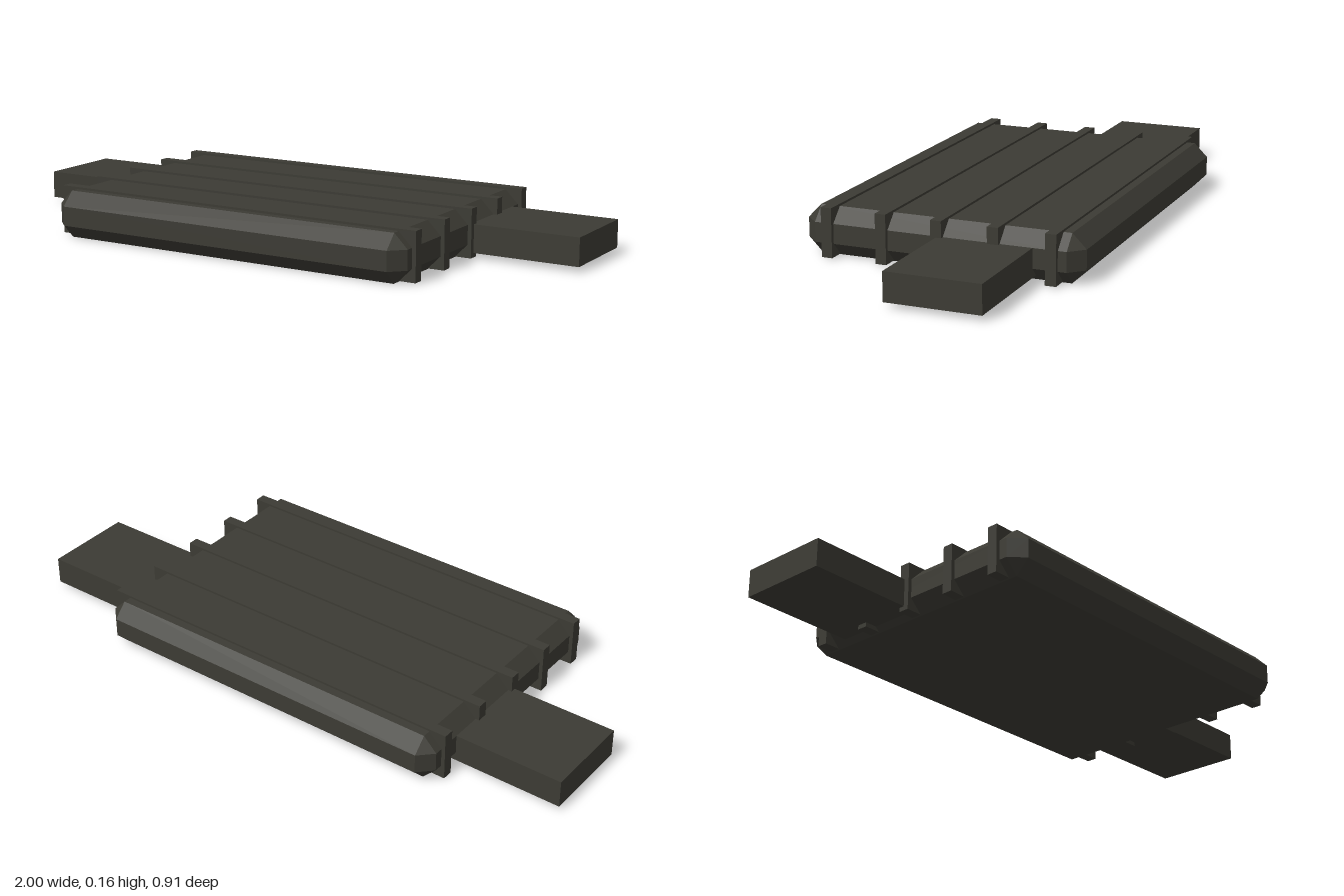
import * as THREE from 'three';
import { ConvexGeometry } from 'three/addons/geometries/ConvexGeometry.js';

export function createModel() {
  const model = new THREE.Group();
  model.name = 'ribbedPack';
  const darkOlive = new THREE.MeshStandardMaterial({ color: 0x3c3b34 });
  darkOlive.name = 'darkOlive';

  const add = (name, geometry, x, y, z) => {
    const mesh = new THREE.Mesh(geometry, darkOlive);
    mesh.name = name;
    mesh.position.set(x, y, z);
    model.add(mesh);
  };

  // Box with every edge and corner cut at 45 degrees
  const chamferedBox = (w, h, d, c) => {
    const points = [];
    for (const sx of [-1, 1]) for (const sy of [-1, 1]) for (const sz of [-1, 1]) {
      const [x, y, z] = [w / 2, h / 2, d / 2];
      points.push(
        new THREE.Vector3(sx * x, sy * (y - c), sz * (z - c)),
        new THREE.Vector3(sx * (x - c), sy * y, sz * (z - c)),
        new THREE.Vector3(sx * (x - c), sy * (y - c), sz * z));
    }
    return new ConvexGeometry(points);
  };

  // Main slab
  add('body', chamferedBox(1.275, 0.153, 0.908, 0.045), 0, 0.0765, 0);

  // Five ribs wrapping the slab, slightly proud of its top and ends
  for (let i = -2; i <= 2; i++) {
    add('rib', new THREE.BoxGeometry(1.3, 0.157, 0.035), 0, 0.0815, i * 0.182);
  }

  // Bar emerging from each side, set towards the back
  for (const side of [-1, 1]) {
    add(side > 0 ? 'leftBar' : 'rightBar',
      new THREE.BoxGeometry(0.42, 0.091, 0.303), side * 0.79, 0.0625, -0.1515);
  }

  return model;
}
